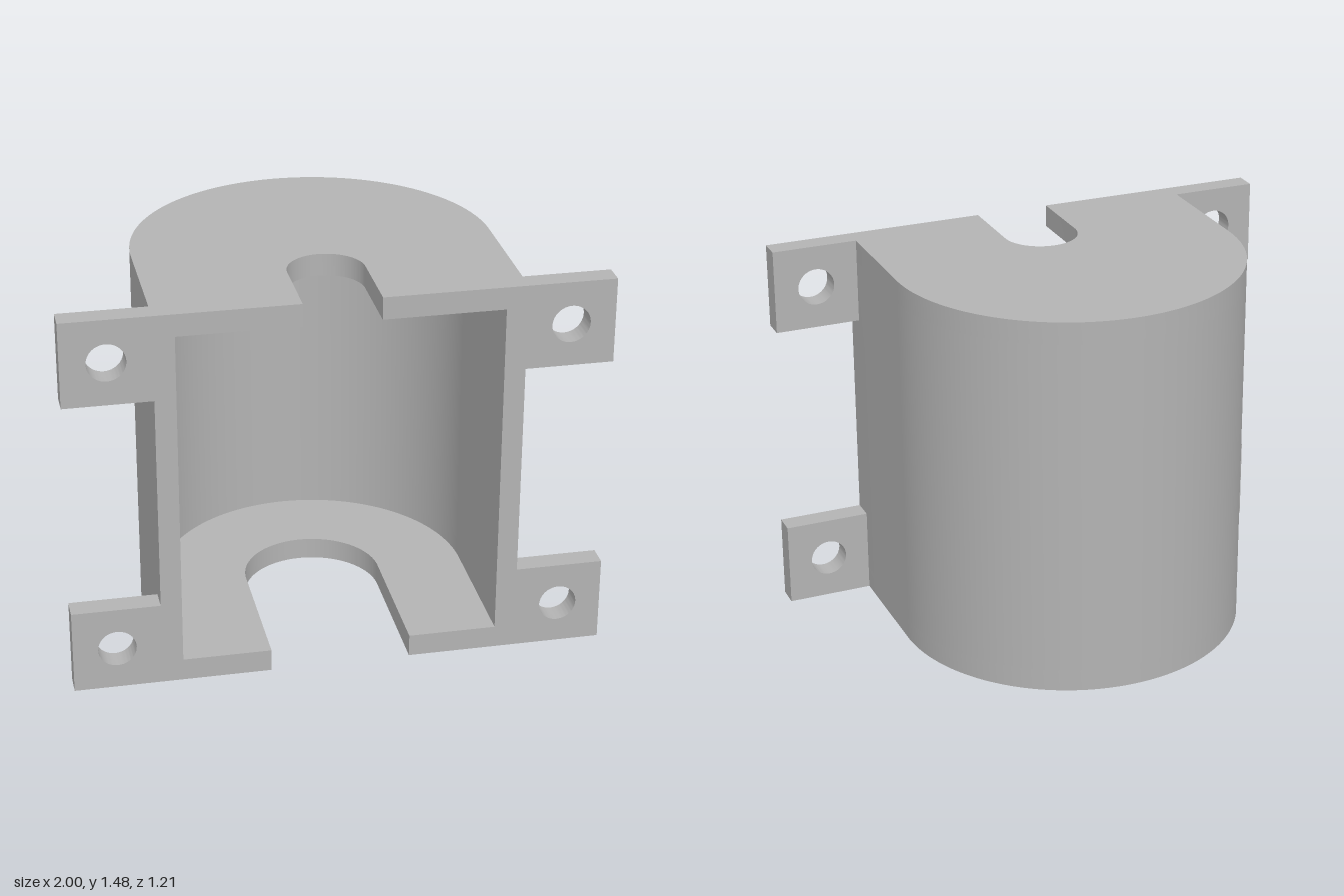
import * as THREE from 'three';
import { toCreasedNormals } from 'three/addons/utils/BufferGeometryUtils.js';

const HEIGHT = 1.48, PLATE = 0.085, FRONT = 0.607;
const OUTER = 0.672, INNER = 0.594, CENTRE_Z = -FRONT + OUTER;

// U-shaped slab lying flat: arched outside, arched slot open to the front
function archSlab(slotRadius, slotZ, y, height) {
  const s = new THREE.Shape();
  s.moveTo(OUTER, -FRONT);
  s.lineTo(OUTER, -CENTRE_Z);
  s.absarc(0, -CENTRE_Z, OUTER, 0, Math.PI, false);
  s.lineTo(-OUTER, -FRONT);
  s.lineTo(-slotRadius, -FRONT);
  s.lineTo(-slotRadius, -slotZ);
  s.absarc(0, -slotZ, slotRadius, Math.PI, 0, true);
  s.lineTo(slotRadius, -FRONT);
  s.closePath();
  const g = new THREE.ExtrudeGeometry(s, { depth: height, bevelEnabled: false, curveSegments: 48 });
  g.rotateX(-Math.PI / 2);
  g.translate(0, y, 0);
  return toCreasedNormals(g, 0.5);
}

// Mounting lug with a round screw hole
function lugGeometry() {
  const w = 1 - OUTER, h = 0.325;
  const s = new THREE.Shape();
  s.moveTo(0, 0);
  s.lineTo(w, 0);
  s.lineTo(w, h);
  s.lineTo(0, h);
  s.closePath();
  const hole = new THREE.Path();
  hole.absarc(w / 2, h / 2, 0.071, 0, Math.PI * 2, true);
  s.holes.push(hole);
  const g = new THREE.ExtrudeGeometry(s, { depth: PLATE, bevelEnabled: false, curveSegments: 32 });
  return toCreasedNormals(g, 0.5);
}

export function createModel() {
  const model = new THREE.Group();
  model.name = 'motorHousing';
  const grey = new THREE.MeshStandardMaterial({ color: 0xb3b3b3 });
  grey.name = 'plain grey';

  const add = (name, geometry) => {
    const mesh = new THREE.Mesh(geometry, grey);
    mesh.name = name;
    model.add(mesh);
    return mesh;
  };

  // Arched shell between two slotted end plates
  add('bottomPlate', archSlab(0.263, CENTRE_Z, 0, PLATE));
  add('shellWall', archSlab(INNER, CENTRE_Z, PLATE, HEIGHT - 2 * PLATE));
  add('topPlate', archSlab(0.143, 0.32, HEIGHT - PLATE, PLATE));

  // Four lugs flush with the front, one at each corner
  const lug = lugGeometry();
  for (const [level, y] of [['lower', 0], ['upper', HEIGHT - 0.325]]) {
    add(level + 'LeftLug', lug).position.set(OUTER, y, FRONT - PLATE);
    add(level + 'RightLug', lug).position.set(-1, y, FRONT - PLATE);
  }
  return model;
}
